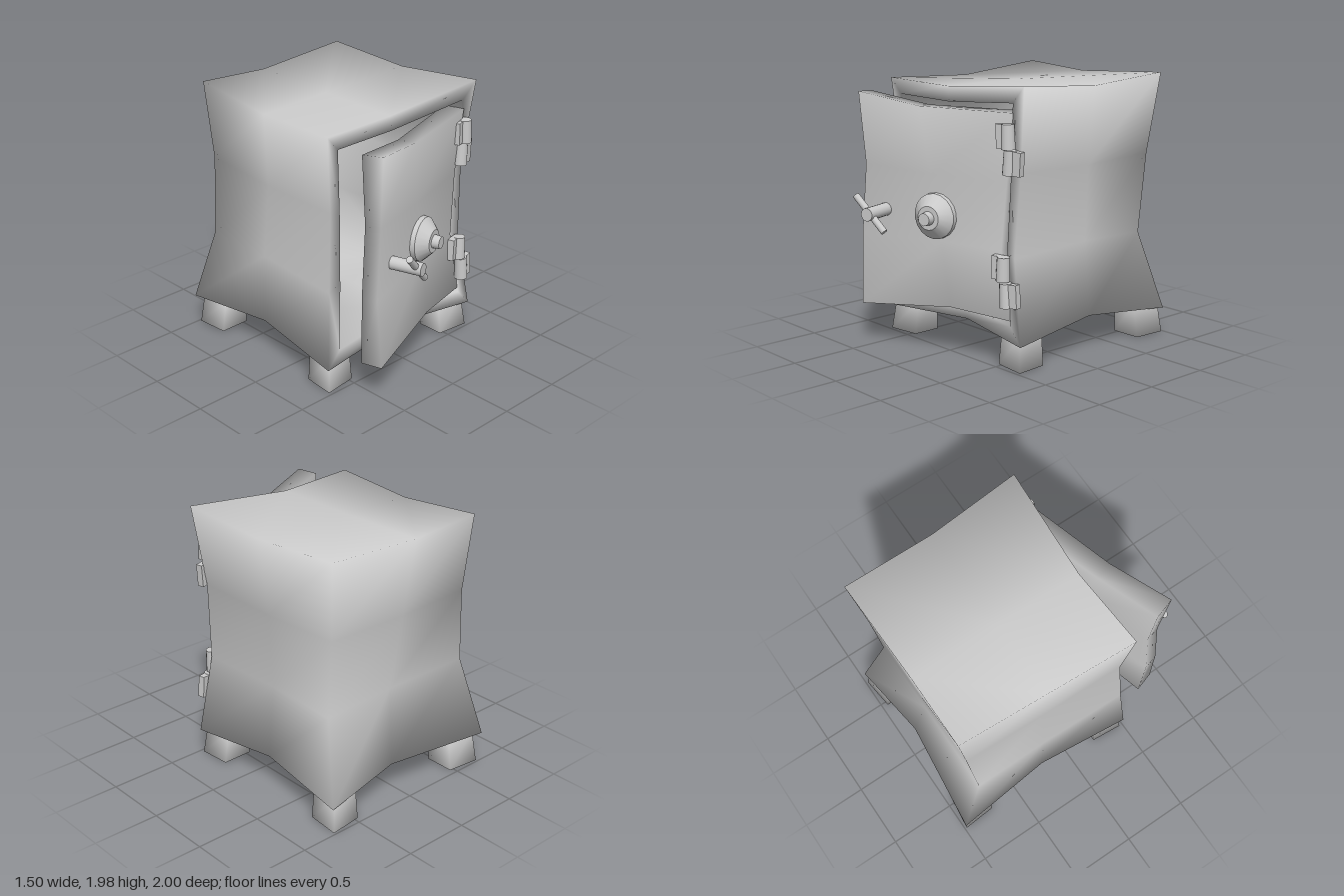
import * as THREE from 'three';
import { mergeVertices, mergeGeometries } from 'three/addons/utils/BufferGeometryUtils.js';

const grey = new THREE.MeshStandardMaterial({ color: 0xcccccc, side: THREE.DoubleSide });

function addMesh(parent, name, geometry, position = [0, 0, 0]) {
  const mesh = new THREE.Mesh(geometry, grey);
  mesh.name = name;
  mesh.position.set(...position);
  parent.add(mesh);
  return mesh;
}

// Maps the cube [-1,1]^3 onto eight corners (x fastest, then y, then z).
// pinch(v, bx, by, bz) gives how far each axis is pulled in between corners;
// the bumps run from 0 at the ends to 1 in the middle of an axis.
// skew slides the middle column sideways, one way at the top, the other below.
function pinchedBlock(corners, skew, pinch) {
  return (v) => {
    const bx = 1 - Math.abs(v.x), bz = 1 - Math.abs(v.z);
    const by = Math.min(1, (1 - Math.abs(v.y)) * 1.5);
    const k = pinch(v, bx, by, bz);
    const x = v.x * (1 - k[0]) - skew * v.y * bx;
    const y = v.y * (1 - k[1]), z = v.z * (1 - k[2]);
    const out = new THREE.Vector3();
    corners.forEach((c, i) => {
      const wx = i & 1 ? 1 + x : 1 - x;
      const wy = i & 2 ? 1 + y : 1 - y;
      const wz = i & 4 ? 1 + z : 1 - z;
      out.addScaledVector(new THREE.Vector3(...c), wx * wy * wz / 8);
    });
    return v.copy(out);
  };
}

function mapVertices(geometry, rule) {
  const p = geometry.attributes.position;
  const v = new THREE.Vector3();
  for (let i = 0; i < p.count; i++) {
    rule(v.fromBufferAttribute(p, i));
    p.setXYZ(i, v.x, v.y, v.z);
  }
  return geometry;
}

function cube(nx, ny, nz) {
  const g = new THREE.BoxGeometry(2, 2, 2, nx, ny, nz);
  g.deleteAttribute('normal');
  g.deleteAttribute('uv');
  return g;
}

function smooth(geometry) {
  const g = mergeVertices(geometry, 1e-4);
  g.computeVertexNormals();
  return g;
}

// Hollow body: outer shell, front rim and cavity, shaded as one surface
function bodyGeometry() {
  const openCube = () => {
    const g = cube(2, 3, 2);
    const index = Array.from(g.index.array);
    const front = g.groups[4];
    index.splice(front.start, front.count); // drop the front side
    g.setIndex(index);
    return g;
  };
  const ox = 0.86, oy = 0.87;
  const shell = openCube();
  const cavity = mapVertices(openCube(), (v) => v.set(v.x * ox, v.y * oy, v.z * 0.92 + 0.08));
  cavity.setIndex(Array.from(cavity.index.array).reverse());

  const ring = [[-1, -1], [0, -1], [1, -1], [1, -1 / 3], [1, 1 / 3],
    [1, 1], [0, 1], [-1, 1], [-1, 1 / 3], [-1, -1 / 3]];
  const points = [], index = [];
  ring.forEach(([x, y], i) => {
    points.push(x, y, 1, x * ox, y * oy, 1);
    const a = 2 * i, b = 2 * ((i + 1) % ring.length);
    index.push(a, b, b + 1, a, b + 1, a + 1);
  });
  const rim = new THREE.BufferGeometry();
  rim.setAttribute('position', new THREE.Float32BufferAttribute(points, 3));
  rim.setIndex(index);

  // the right side and back cave in low, the left side and front high
  const warp = pinchedBlock([
    [-0.75, 0.23, -1.0], [0.73, 0.19, -0.985], [-0.64, 1.96, -0.91], [0.70, 1.97, -0.93],
    [-0.735, 0.19, 0.485], [0.735, 0.19, 0.485], [-0.70, 1.92, 0.46], [0.75, 1.98, 0.47],
  ], 0.15, (v, bx, by, bz) => [
    Math.max(by * (0.1 + 0.025 * v.x - 0.06 * v.x * v.y), bz * (0.05 - 0.03 * v.y)),
    Math.max(bx * 0.05, bz * 0.06) * (1.1 - 0.2 * v.y),
    Math.max(by * (0.115 - 0.055 * v.z + (0.09 * v.z - 0.05) * v.y),
      bx * (0.064 - 0.029 * v.y + 0.016 * v.z * v.y)),
  ]);
  return smooth(mapVertices(mergeGeometries([shell, rim, cavity]), warp));
}

function buildDoor() {
  const door = new THREE.Group();
  door.name = 'door';
  door.position.set(-0.02, 0, 0.51);
  door.rotation.y = 0.305;

  const warp = pinchedBlock([
    [-0.63, 0.30, 0], [0.63, 0.35, 0], [-0.63, 1.85, 0], [0.63, 1.79, 0],
    [-0.63, 0.30, 0.155], [0.63, 0.35, 0.155], [-0.63, 1.86, 0.155], [0.63, 1.79, 0.155],
  ], 0.2, (v, bx, by) => [
    by * (0.07 + 0.055 * v.x - 0.105 * v.x * v.y),
    bx * 0.06,
    Math.max(by, bx * 0.5) * (0.25 + 0.15 * v.z),
  ]);
  addMesh(door, 'doorPanel', smooth(mapVertices(cube(2, 3, 1), warp)));

  // Round parts pointing out of the door: [name, tip radius, base radius, length, position]
  const round = [
    ['dialRim', 0.163, 0.165, 0.07, [0.005, 1.02, 0.125]],
    ['dialCone', 0.085, 0.163, 0.075, [0.005, 1.02, 0.1975]],
    ['dialKnob', 0.045, 0.05, 0.06, [0.005, 1.02, 0.26]],
    ['handleShaft', 0.047, 0.047, 0.26, [-0.43, 1.02, 0.23]],
  ];
  for (const [name, tip, base, length, position] of round) {
    const g = new THREE.CylinderGeometry(tip, base, length, 18).rotateX(Math.PI / 2);
    addMesh(door, name, g, position);
  }
  const bar = new THREE.CylinderGeometry(0.025, 0.025, 0.34, 12).rotateZ(Math.PI / 4);
  addMesh(door, 'handleBar', bar, [-0.432, 1.02, 0.315]);
  return door;
}

// Hinge half: a knuckle with one leaf towards the door (-1) or the frame (+1)
function hingeHalf(side, [x, y, z], lean) {
  const half = new THREE.Group();
  half.name = side < 0 ? 'hingeDoorHalf' : 'hingeFrameHalf';
  half.position.set(x, y, z);
  half.rotation.z = lean;
  addMesh(half, 'hingeKnuckle', new THREE.CylinderGeometry(0.045, 0.05, 0.17, 14));
  const leaf = addMesh(half, 'hingeLeaf', new THREE.BoxGeometry(0.1, 0.165, 0.05),
    [side * 0.05, 0, -0.01]);
  leaf.rotation.y = side < 0 ? 0.305 : 0.2;
  return half;
}

export function createModel() {
  const model = new THREE.Group();
  model.name = 'safe';

  addMesh(model, 'body', bodyGeometry());
  model.add(buildDoor());

  model.add(
    hingeHalf(-1, [0.618, 1.633, 0.495], 0.03),
    hingeHalf(1, [0.61, 1.455, 0.47], -0.06),
    hingeHalf(-1, [0.582, 0.72, 0.505], -0.03),
    hingeHalf(1, [0.613, 0.54, 0.505], 0.06),
  );

  // Legs: flared at the floor, with the outermost corner drawn out
  for (const sx of [-1, 1]) {
    for (const [outer, inner, name] of [[0.475, 0.235, 'frontLeg'], [-0.985, -0.735, 'backLeg']]) {
      const sz = Math.sign(outer);
      const xs = [sx * 0.47, sx * 0.72].sort((a, b) => a - b);
      const zs = [inner, outer].sort((a, b) => a - b);
      const corners = [];
      for (const z of zs) for (const y of [0, 0.25]) for (const x of xs) {
        const outX = Math.abs(x) > 0.6, outZ = z === outer;
        const taper = y ? 0.03 : 0;
        const dx = outX ? taper + (outZ ? 0 : 0.02) : 0;
        const dz = outZ ? taper + (outX ? 0 : 0.03) : taper / 3;
        corners.push([x - sx * dx, y, z - sz * dz]);
      }
      const leg = mapVertices(cube(1, 1, 1), pinchedBlock(corners, 0, () => [0, 0, 0]));
      addMesh(model, name, smooth(leg));
    }
  }
  return model;
}
